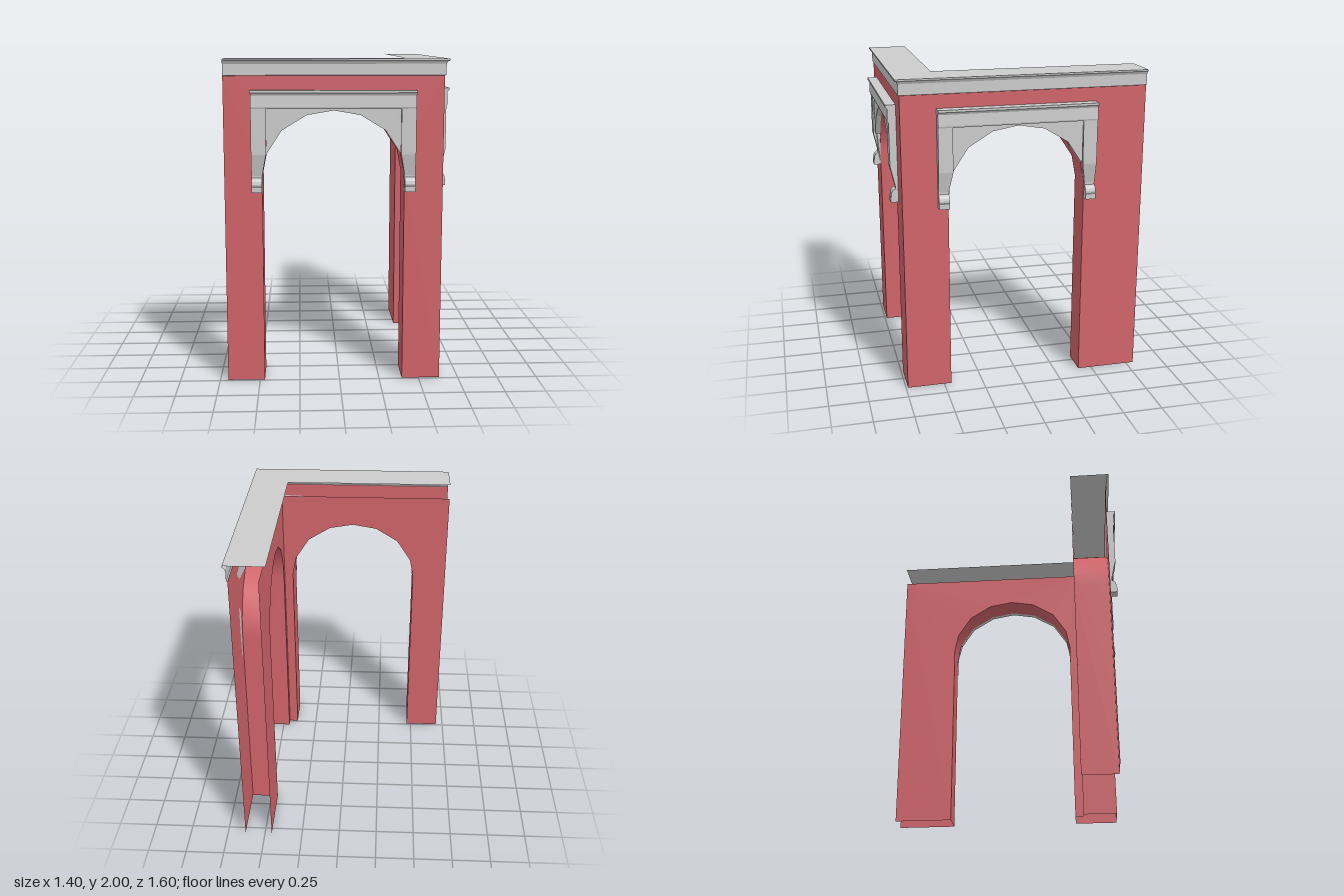
import * as THREE from 'three';

const red = new THREE.MeshStandardMaterial({ color: 0xd0646a, side: THREE.DoubleSide });
const grey = new THREE.MeshStandardMaterial({ color: 0xcccccc, side: THREE.DoubleSide });

// outer wall faces, inner corner, and each arch's centre
const FACE_X = 0.632, FACE_Z = 0.737, INNER_X = 0.455, INNER_Z = 0.51;
const END_X = -0.70, END_Z = -0.80, MID_X = -0.0375, MID_Z = 0.021;
const WALL_TOP = 1.9, TRIM_HALF = 0.4975;

// faceted arch, left spring to right spring, centred on x = 0
const halfArch = [[0.4325, 1.30], [0.4075, 1.43], [0.3125, 1.575], [0.1625, 1.667]];
const arch = [
  ...halfArch.map(([x, y]) => [-x, y]),
  [0, 1.695],
  ...halfArch.slice().reverse(),
];
const jambX = halfArch[0][0];
const shapeOf = pts => new THREE.Shape(pts.map(([x, y]) => new THREE.Vector2(x, y)));

function part(name, geometry, material) {
  const mesh = new THREE.Mesh(geometry, material);
  mesh.name = name;
  return mesh;
}

// surface through rows of points
function strip(rows, smooth) {
  const n = rows[0].length, index = [];
  for (let i = 0; i < rows.length - 1; i++) {
    for (let j = 0; j < n - 1; j++) {
      const a = i * n + j, b = a + n;
      index.push(a, b, b + 1, a, b + 1, a + 1);
    }
  }
  let g = new THREE.BufferGeometry();
  g.setAttribute('position', new THREE.Float32BufferAttribute(rows.flat(2), 3));
  g.setIndex(index);
  if (!smooth) g = g.toNonIndexed();
  g.computeVertexNormals();
  return g;
}

// flat wall sheet with the arched opening cut up from the ground
function wallSheet(x0, x1) {
  return new THREE.ShapeGeometry(shapeOf([
    [x0, 0], [-jambX, 0], ...arch, [jambX, 0], [x1, 0], [x1, WALL_TOP], [x0, WALL_TOP],
  ]));
}

// side profile [depth, y] carried sideways from xLeft(y) to xRight(y)
function extrudeAcross(profile, xLeft, xRight) {
  const g = new THREE.ExtrudeGeometry(shapeOf(profile), { depth: 1, bevelEnabled: false });
  const p = g.attributes.position;
  for (let i = 0; i < p.count; i++) {
    const d = p.getX(i), y = p.getY(i), t = p.getZ(i);
    p.setXYZ(i, THREE.MathUtils.lerp(xRight(y), xLeft(y), t), y, d);
  }
  g.computeVertexNormals();
  return g;
}

function archTrim() {
  const group = new THREE.Group();
  group.name = 'archTrim';
  const outer = () => TRIM_HALF;
  const minusOuter = () => -TRIM_HALF;

  // moulded beam over the arch
  const beam = [
    [0, 1.705], [0.05, 1.705], [0.054, 1.715], [0.05, 1.785],
    [0.056, 1.795], [0.064, 1.801], [0.064, 1.815], [0, 1.815],
  ];
  group.add(part('trimBeam', extrudeAcross(beam, minusOuter, outer), grey));

  // recessed spandrel panel following the arch
  const panel = shapeOf([[-0.4075, 1.705], ...arch.slice(1, -1), [0.4075, 1.705]]);
  group.add(part('spandrel',
    new THREE.ExtrudeGeometry(panel, { depth: 0.034, bevelEnabled: false }), grey));

  // brackets with a scrolled foot, inner edge meeting the arch
  const bracket = [
    [0, 1.2], [0.048, 1.2], [0.048, 1.235], [0.043, 1.237], [0.045, 1.25], [0.041, 1.266],
    [0.031, 1.28], [0.016, 1.287], [0.016, 1.30], [0.046, 1.43], [0.046, 1.705], [0, 1.705],
  ];
  const inner = y => THREE.MathUtils.mapLinear(
    THREE.MathUtils.clamp(y, 1.30, 1.43), 1.30, 1.43, jambX, 0.4075);
  group.add(part('leftBracket', extrudeAcross(bracket, inner, outer), grey));
  group.add(part('rightBracket', extrudeAcross(bracket, minusOuter, y => -inner(y)), grey));
  return group;
}

// one arched wall: outer sheet, inner sheet, arch lining and trim, facing +z
function archedWall(name, outerSpan, innerSpan, thickness) {
  const group = new THREE.Group();
  group.name = name;
  group.add(part('outerFace', wallSheet(...outerSpan), red));

  const back = wallSheet(-innerSpan[1], -innerSpan[0]);
  back.rotateY(Math.PI).translate(0, 0, -thickness);
  group.add(part('innerFace', back, red));

  const line = [[-jambX, 0], ...arch, [jambX, 0]];
  const rows = [0, -thickness].map(z => line.map(([x, y]) => [x, y, z]));
  group.add(part('archLining', strip(rows, true), red));
  group.add(archTrim());
  return group;
}

export function createModel() {
  const model = new THREE.Group();
  model.name = 'cornerArcade';

  // front wall
  const front = archedWall('frontWall',
    [END_X - MID_X, FACE_X - MID_X], [END_X - MID_X, INNER_X - MID_X], FACE_Z - INNER_Z);
  front.position.set(MID_X, 0, FACE_Z);
  model.add(front);

  // side wall, turned to face +x
  const side = archedWall('sideWall',
    [MID_Z - FACE_Z, MID_Z - END_Z], [MID_Z - INNER_Z, MID_Z - END_Z], FACE_X - INNER_X);
  side.rotation.y = Math.PI / 2;
  side.position.set(FACE_X, 0, MID_Z);
  model.add(side);

  // cornice moulding, mitred at the corner
  const lip = 0.027;
  const profile = [[0, 1.9], [0.008, 1.903], [0.008, 1.97], [0.015, 1.983], [lip, 1.99], [lip, 2]];
  const path = [[END_X, FACE_Z, 0, 1], [FACE_X, FACE_Z, 1, 1], [FACE_X, END_Z, 1, 0]];
  const rows = path.map(([x, z, ox, oz]) => profile.map(([o, y]) => [x + ox * o, y, z + oz * o]));
  model.add(part('cornice', strip(rows, false), grey));

  // L-shaped cornice top
  const xo = FACE_X + lip, zo = FACE_Z + lip;
  const top = new THREE.ShapeGeometry(shapeOf([
    [END_X, -zo], [xo, -zo], [xo, -END_Z], [0.41, -END_Z], [0.41, -0.51], [END_X, -0.51],
  ]));
  top.rotateX(-Math.PI / 2).translate(0, 2, 0);
  model.add(part('corniceTop', top, grey));

  return model;
}
